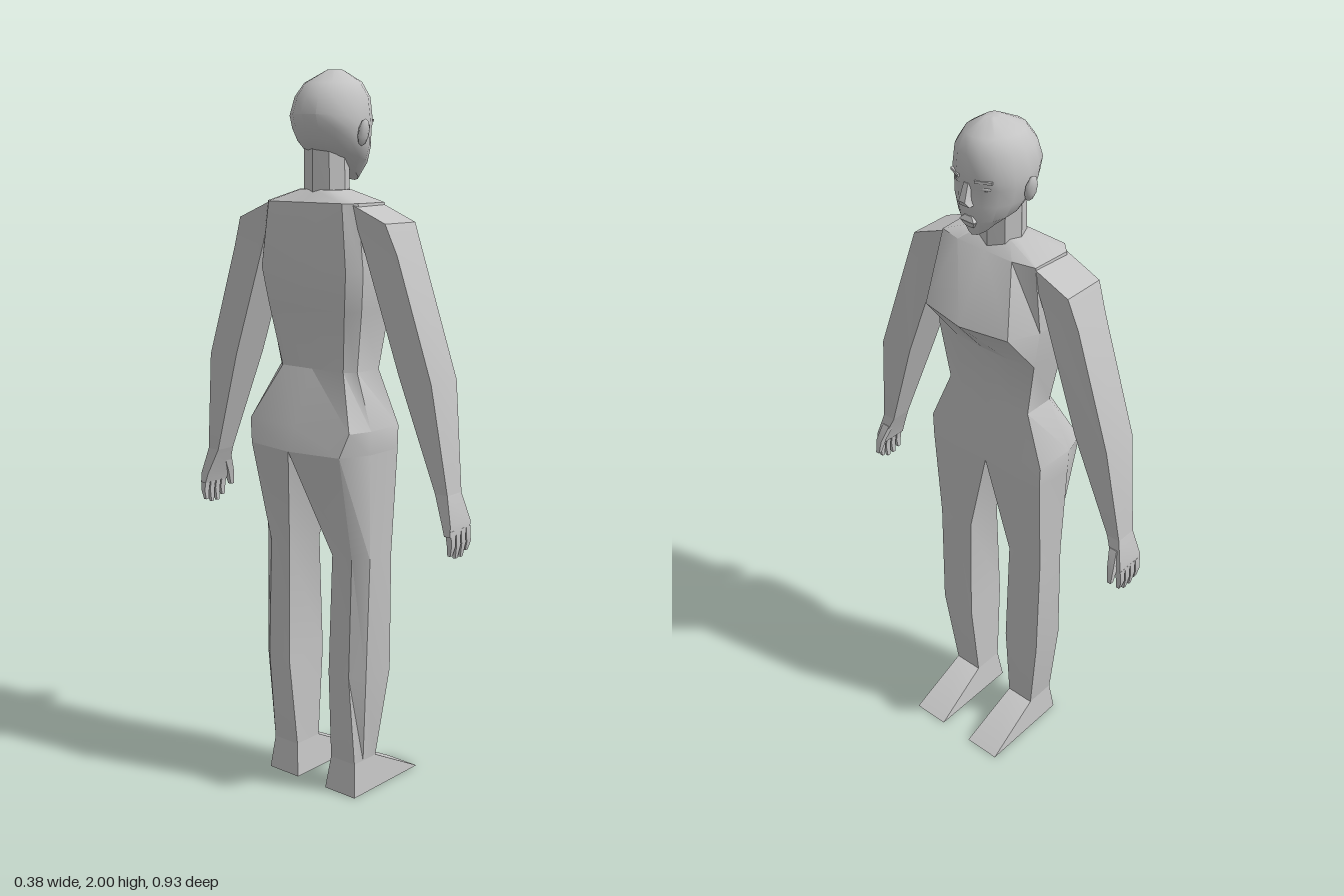
import * as THREE from 'three';
import { toCreasedNormals } from 'three/addons/utils/BufferGeometryUtils.js';

const skin = new THREE.MeshStandardMaterial({ color: 0xc4c4c4 });
skin.name = 'light grey';

// Skins closed cross-sections listed from top to bottom, with capped ends
function loft(rings, crease = 0.55) {
  const pos = [];
  const tri = (...pts) => pts.forEach((p) => pos.push(...p));
  const n = rings[0].length;
  const middle = (r) => [0, 1, 2].map((k) => r.reduce((sum, p) => sum + p[k], 0) / n);
  const top = rings[0], end = rings[rings.length - 1];
  const topMid = middle(top), endMid = middle(end);
  for (let j = 0; j < n; j++) {
    const k = (j + 1) % n;
    for (let i = 0; i < rings.length - 1; i++) {
      const a = rings[i], b = rings[i + 1];
      tri(a[j], a[k], b[j]);
      tri(a[k], b[k], b[j]);
    }
    tri(topMid, top[k], top[j]);
    tri(endMid, end[j], end[k]);
  }
  const g = new THREE.BufferGeometry();
  g.setAttribute('position', new THREE.Float32BufferAttribute(pos, 3));
  return toCreasedNormals(g, crease);
}

function add(parent, name, geometry) {
  const mesh = new THREE.Mesh(geometry, skin);
  mesh.name = name;
  parent.add(mesh);
  return mesh;
}

// Mirrors rings across the body, reversing them to keep faces outward
const sided = (rings, s) => (s > 0 ? rings
  : rings.map((r) => r.map(([x, y, z]) => [x, y, -z]).reverse()));

// Level ring from [x, z] pairs
const level = (y, pts) => pts.map(([x, z]) => [x, y, z]);

// Full ring from a half outline running front centre to back centre
const whole = (y, half) => level(y, [...half, ...half.slice(1, -1).reverse().map(([x, z]) => [x, -z])]);

// Rectangular ring: front x, back x, inner z, outer z, inner y, outer y
const quad = (f, b, zi, zo, yi, yo = yi) => [[f, yi, zi], [f, yo, zo], [b, yo, zo], [b, yi, zi]];

// Oval ring that can tilt from front to back
function oval(yf, yb, xf, xb, w, n = 16) {
  return Array.from({ length: n }, (_, i) => {
    const a = (i / n) * Math.PI * 2, c = Math.cos(a);
    const x = (xf + xb) / 2 + (c * (xf - xb)) / 2;
    return [x, yb + ((yf - yb) * (c + 1)) / 2, w * Math.sin(a)];
  });
}

function makeHead() {
  const head = new THREE.Group();
  head.name = 'head';
  head.position.z = 0.01;
  add(head, 'skull', loft([
    oval(2.0, 2.0, 0.015, -0.03, 0.02),
    oval(1.97, 1.965, 0.07, -0.1, 0.07),
    oval(1.93, 1.93, 0.09, -0.125, 0.095),
    oval(1.865, 1.885, 0.095, -0.14, 0.105),
    oval(1.845, 1.85, 0.087, -0.128, 0.104),
    oval(1.8, 1.82, 0.088, -0.11, 0.098),
    oval(1.755, 1.795, 0.086, -0.088, 0.08),
    oval(1.712, 1.785, 0.074, -0.06, 0.04),
  ], 0.7));
  add(head, 'nose', loft([
    quad(0.094, 0.07, -0.007, 0.007, 1.86),
    quad(0.11, 0.07, -0.01, 0.01, 1.815),
    quad(0.1, 0.07, -0.016, 0.016, 1.8),
  ]));
  add(head, 'upperLip', loft([
    quad(0.088, 0.07, -0.012, 0.012, 1.77),
    quad(0.094, 0.07, -0.024, 0.024, 1.757),
  ]));
  add(head, 'lowerLip', loft([
    quad(0.091, 0.07, -0.022, 0.022, 1.754),
    quad(0.084, 0.065, -0.012, 0.012, 1.738),
  ]));
  for (const s of [1, -1]) {
    const eye = add(head, 'eye', new THREE.SphereGeometry(1, 10, 6));
    eye.scale.set(0.007, 0.007, 0.018);
    eye.position.set(0.073, 1.85, s * 0.042);
    eye.rotation.y = -s * 0.4;
    const brow = add(head, 'brow', new THREE.BoxGeometry(0.012, 0.007, 0.045));
    brow.position.set(0.079, 1.87, s * 0.044);
    brow.rotation.y = -s * 0.45;
    const ear = add(head, 'ear', new THREE.SphereGeometry(1, 7, 5));
    ear.scale.set(0.02, 0.036, 0.012);
    ear.position.set(-0.02, 1.838, s * 0.109);
    ear.rotation.x = s * 0.2;
  }
  return head;
}

function makeArm(s) {
  const arm = new THREE.Group();
  arm.name = s > 0 ? 'rightArm' : 'leftArm';
  add(arm, 'sleeve', loft(sided([
    quad(0.025, -0.1, 0.14, 0.258, 1.658, 1.61),
    quad(0.02, -0.09, 0.18, 0.29, 1.54, 1.53),
    quad(0.025, -0.085, 0.295, 0.4, 1.22, 1.21),
    quad(0.0, -0.062, 0.4, 0.44, 0.92),
  ], s), 0.4));
  add(arm, 'palm', loft(sided([
    quad(0.0, -0.062, 0.4, 0.44, 0.92),
    quad(0.015, -0.074, 0.432, 0.46, 0.845),
    quad(0.012, -0.076, 0.442, 0.461, 0.815),
  ], s)));
  // Four tapered fingers
  for (let i = 0; i < 4; i++) {
    const x = 0.004 - i * 0.0225;
    const tip = [0.765, 0.752, 0.752, 0.762][i];
    add(arm, 'finger', loft(sided([
      quad(x + 0.009, x - 0.009, 0.442, 0.461, 0.83),
      quad(x + 0.009, x - 0.009, 0.449, 0.464, 0.79),
      quad(x + 0.005, x - 0.005, 0.448, 0.457, tip),
    ], s)));
  }
  add(arm, 'thumb', loft(sided([
    quad(0.008, -0.02, 0.415, 0.44, 0.89),
    quad(0.03, 0.008, 0.428, 0.448, 0.84),
    quad(0.036, 0.024, 0.435, 0.447, 0.795),
  ], s)));
  return arm;
}

function makeLeg(s) {
  const leg = new THREE.Group();
  leg.name = s > 0 ? 'rightLeg' : 'leftLeg';
  add(leg, 'trouser', loft(sided([
    level(0.995, [[0.04, 0], [0.045, 0.11], [0.04, 0.195], [-0.08, 0.197], [-0.165, 0.16], [-0.19, 0]]),
    level(0.7, [[0.022, 0.075], [0.028, 0.13], [0.022, 0.19], [-0.07, 0.19], [-0.1, 0.15], [-0.1, 0.08]]),
    level(0.36, [[0.03, 0.07], [0.035, 0.13], [0.025, 0.186], [-0.08, 0.186], [-0.112, 0.15], [-0.11, 0.075]]),
    level(0.095, [[0.005, 0.065], [0.005, 0.11], [0.005, 0.152], [-0.05, 0.152], [-0.088, 0.152], [-0.088, 0.065]]),
  ], s)));
  add(leg, 'foot', loft(sided([
    quad(0.005, -0.088, 0.065, 0.152, 0.095),
    quad(0.186, -0.1, 0.053, 0.162, 0),
  ], s)));
  return leg;
}

export function createModel() {
  const model = new THREE.Group();
  model.name = 'standingFigure';

  // Body from collar to hips
  add(model, 'torso', loft([
    whole(1.69, [[0, 0], [0, 0.05], [-0.01, 0.07], [-0.06, 0.07], [-0.08, 0.05], [-0.08, 0]]),
    whole(1.658, [[0.04, 0], [0.04, 0.09], [0.025, 0.155], [-0.09, 0.16], [-0.12, 0.13], [-0.12, 0]]),
    whole(1.48, [[0.14, 0], [0.112, 0.14], [0.03, 0.177], [-0.09, 0.178], [-0.128, 0.15], [-0.132, 0]]),
    whole(1.375, [[0.052, 0], [0.05, 0.088], [0.036, 0.165], [-0.08, 0.165], [-0.115, 0.135], [-0.12, 0]]),
    whole(1.21, [[0.036, 0], [0.036, 0.09], [0.026, 0.138], [-0.065, 0.138], [-0.09, 0.11], [-0.092, 0]]),
    whole(1.06, [[0.042, 0], [0.045, 0.11], [0.04, 0.197], [-0.08, 0.2], [-0.148, 0.18], [-0.163, 0]]),
    whole(0.995, [[0.04, 0], [0.045, 0.11], [0.04, 0.195], [-0.08, 0.197], [-0.165, 0.16], [-0.19, 0]]),
  ]));

  add(model, 'neck', loft([
    oval(1.79, 1.81, 0.028, -0.088, 0.062, 8),
    oval(1.66, 1.66, 0.03, -0.088, 0.064, 8),
  ]));

  model.add(makeHead());
  for (const s of [1, -1]) model.add(makeArm(s), makeLeg(s));
  return model;
}
